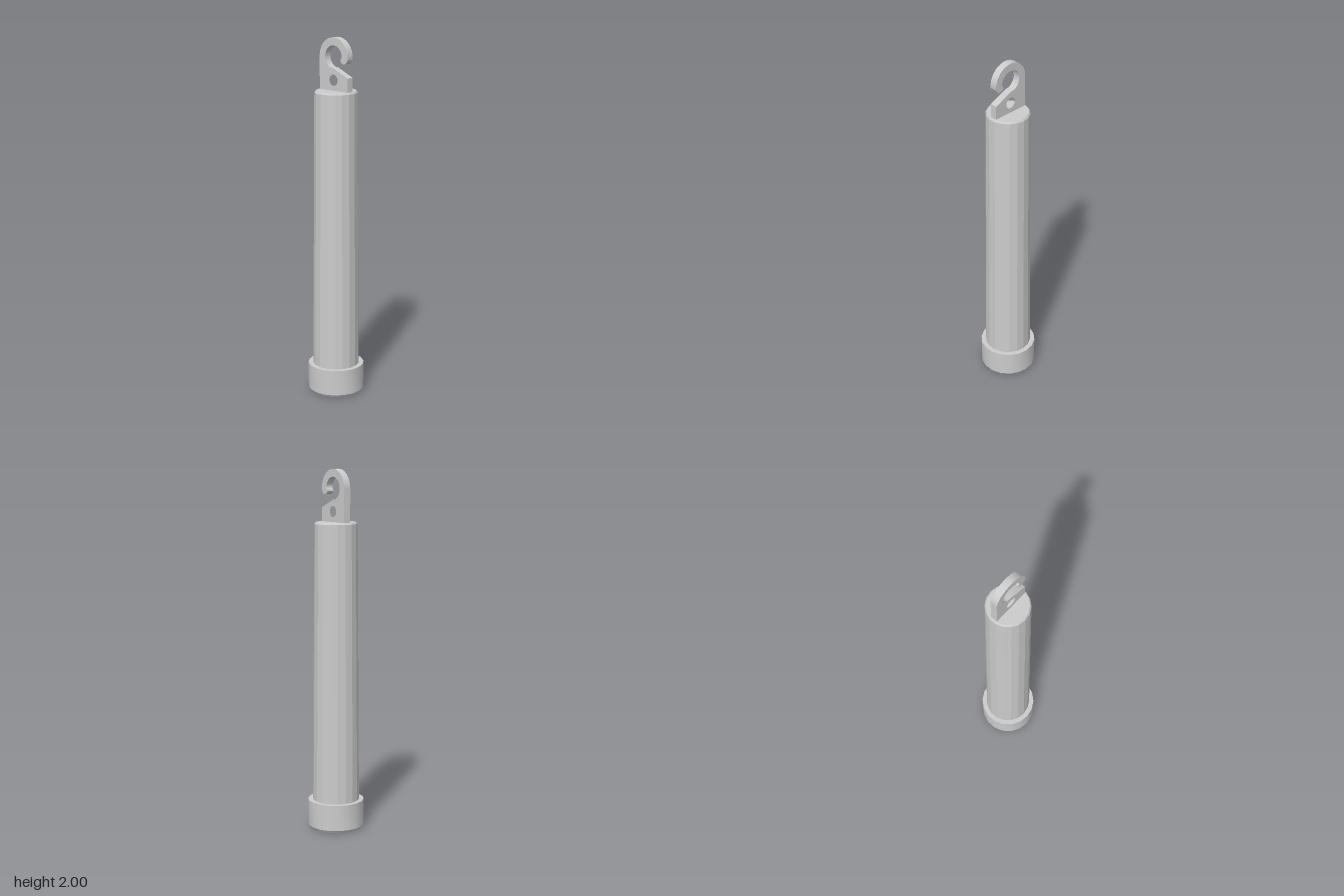
import * as THREE from 'three';
import { toCreasedNormals } from 'three/addons/utils/BufferGeometryUtils.js';

const SIDES = 18;

// Solid of revolution from [radius, height] pairs, listed bottom to top
function turned(name, profile, material, crease) {
  const points = profile.map(([r, y]) => new THREE.Vector2(r, y));
  const geometry = toCreasedNormals(new THREE.LatheGeometry(points, SIDES), crease);
  const mesh = new THREE.Mesh(geometry, material);
  mesh.name = name;
  return mesh;
}

// Flat hanging hook with an open loop and a cord hole
function makeHook(material) {
  const cy = 1.897, outer = 0.104, inner = 0.062, depth = 0.04;
  const s = new THREE.Shape();
  s.moveTo(-outer, 1.7);
  s.lineTo(-outer, cy);
  s.absarc(0, cy, outer, Math.PI, -0.06, true);
  // rounded tip
  s.bezierCurveTo(0.102, 1.868, 0.072, 1.853, 0.056, 1.872);
  s.quadraticCurveTo(0.047, 1.882, 0.056, 1.892);
  // inside of the loop
  s.quadraticCurveTo(0.061, 1.897, inner * Math.cos(0.12), cy + inner * Math.sin(0.12));
  s.absarc(0, cy, inner, 0.12, Math.PI * 1.38, false);
  // sloping lip
  s.quadraticCurveTo(-0.012, 1.838, 0, 1.836);
  s.lineTo(outer, 1.791);
  s.lineTo(outer, 1.7);
  s.closePath();

  const hole = new THREE.Path();
  hole.absarc(0, 1.772, 0.03, 0, Math.PI * 2, true);
  s.holes.push(hole);

  const geometry = new THREE.ExtrudeGeometry(s, { depth, bevelEnabled: false, curveSegments: 20 });
  geometry.translate(0, 0, -depth / 2);
  const mesh = new THREE.Mesh(toCreasedNormals(geometry, 0.6), material);
  mesh.name = 'hook';
  return mesh;
}

export function createModel() {
  const group = new THREE.Group();
  group.name = 'glowStick';
  const grey = new THREE.MeshStandardMaterial({ color: 0xcccccc });
  const facetedGrey = new THREE.MeshStandardMaterial({ color: 0xcccccc, flatShading: true });

  // Tapered tube with a small bevel at the top
  group.add(turned('tube',
    [[0, 0.1], [0.13, 0.1], [0.13, 0.16], [0.118, 1.705], [0.111, 1.715], [0, 1.715]],
    facetedGrey, 0.1));

  // Wide end cap with a bevelled bottom edge
  group.add(turned('endCap',
    [[0, 0], [0.147, 0], [0.157, 0.015], [0.157, 0.16], [0, 0.16]],
    grey, 0.5));

  group.add(makeHook(grey));
  return group;
}
